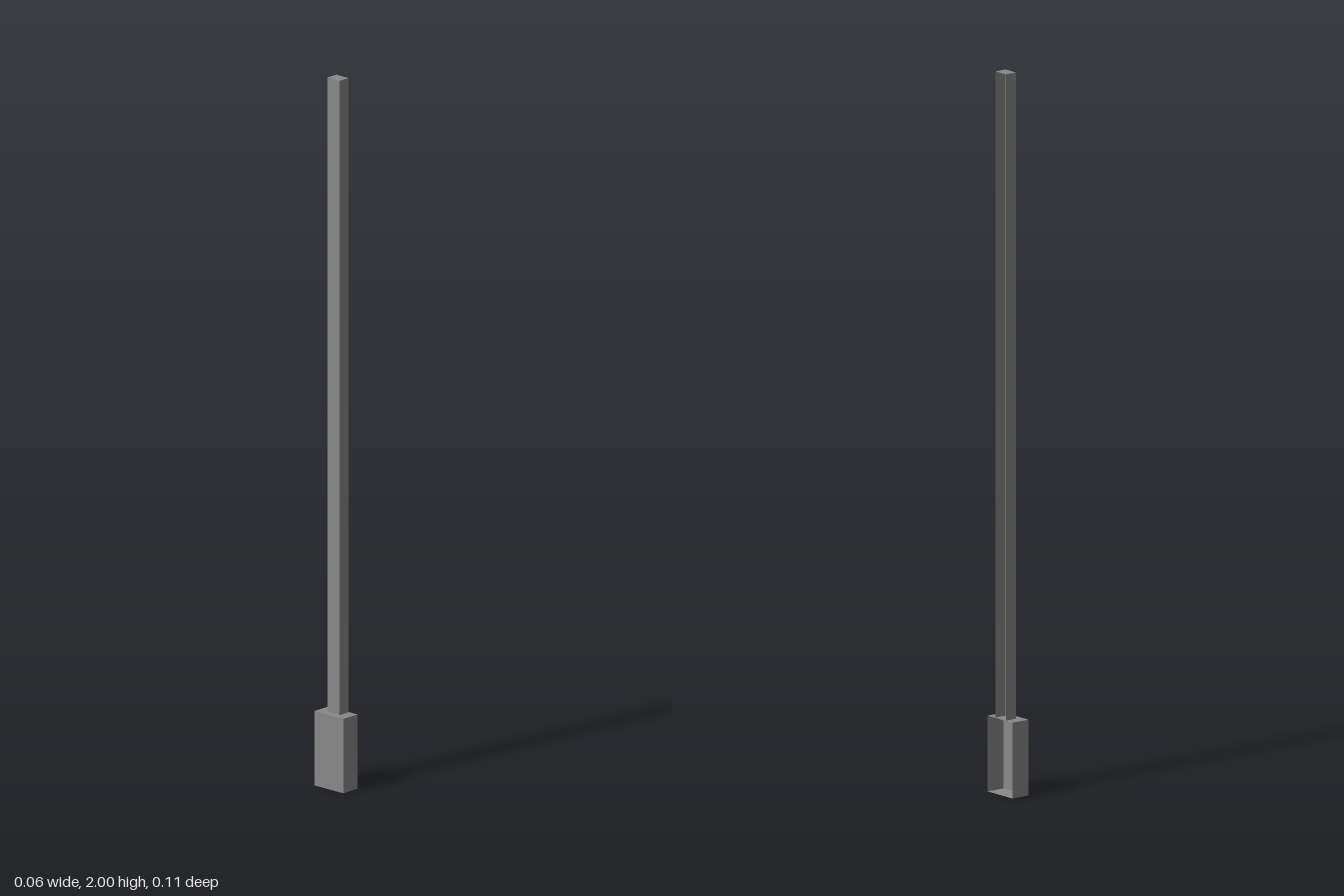
import * as THREE from 'three';

// Box given by its min and max corners, leaving out the listed faces
// (face order: +x, -x, +y, -y, +z, -z).
function openBox(name, min, max, omit, material) {
  const size = max.map((v, i) => v - min[i]);
  const geometry = new THREE.BoxGeometry(...size);
  const index = Array.from(geometry.index.array);
  geometry.setIndex(index.filter((_, i) => !omit.includes(Math.floor(i / 6))));
  geometry.clearGroups();
  geometry.translate(...min.map((v, i) => v + size[i] / 2));
  const mesh = new THREE.Mesh(geometry, material);
  mesh.name = name;
  return mesh;
}

export function createModel() {
  const group = new THREE.Group();
  group.name = 'wallConduit';
  const grey = new THREE.MeshStandardMaterial({ color: 0x888888, side: THREE.DoubleSide });
  grey.name = 'grey';

  // Junction box at the foot, open on the side that meets the wall
  group.add(openBox('junctionBox', [-0.028, 0, -0.053], [0.028, 0.21, 0.053], [0], grey));

  // Tall channel rising from the box, open on the same side and at its foot
  group.add(openBox('channel', [-0.009, 0.21, -0.023], [0.026, 2, 0.022], [0, 3], grey));

  return group;
}
